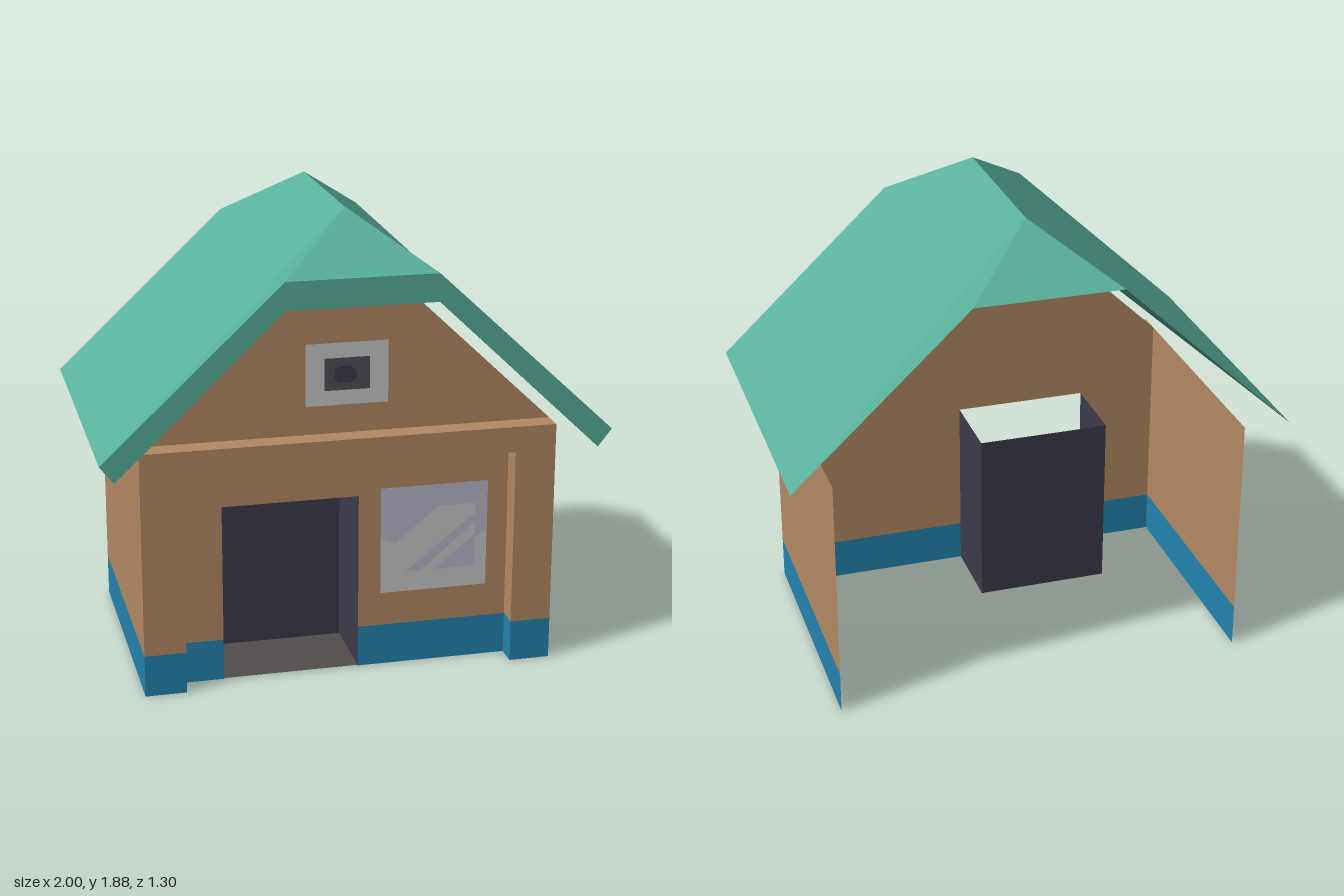
import * as THREE from 'three';

const mat = (name, color) => {
  const m = new THREE.MeshStandardMaterial({ color, side: THREE.DoubleSide, flatShading: true });
  m.name = name;
  return m;
};

export function createModel() {
  const house = new THREE.Group();
  house.name = 'house';
  const brown = mat('brown wall', 0xb38a64);
  const blue = mat('blue base', 0x2284b0);
  const green = mat('green roof', 0x58b09b);
  const dark = mat('dark doorway', 0x3d3b4a);
  const grey = mat('grey floor', 0x504d4c);
  const pale = mat('pale frame', 0xcacaca);
  const glass = mat('lilac glass', 0xbab8cc);
  const slate = mat('slate vent', 0x504f57);

  const add = (name, geometry, material, x = 0, y = 0, z = 0) => {
    const m = new THREE.Mesh(geometry, material);
    m.name = name;
    m.position.set(x, y, z);
    house.add(m);
    return m;
  };
  const shape = (pts) => new THREE.Shape(pts.map(([x, y]) => new THREE.Vector2(x, y)));
  const flat = (name, pts, z, material) => add(name, new THREE.ShapeGeometry(shape(pts)), material, 0, 0, z);
  const rect = (x0, x1, y0, y1) => [[x0, y0], [x1, y0], [x1, y1], [x0, y1]];
  const box = (name, x0, x1, y0, y1, z0, z1, material) =>
    add(name, new THREE.BoxGeometry(x1 - x0, y1 - y0, z1 - z0), material, (x0 + x1) / 2, (y0 + y1) / 2, (z0 + z1) / 2);
  // Wall standing along z at a fixed x
  const sideWall = (name, x, y0, y1, z0, z1, material) => {
    const m = add(name, new THREE.PlaneGeometry(z1 - z0, y1 - y0), material, x, (y0 + y1) / 2, (z0 + z1) / 2);
    m.rotation.y = x < 0 ? -Math.PI / 2 : Math.PI / 2;
  };
  // Convex faces, each a fan of corners
  const faces = (name, list, material) => {
    const pos = [];
    for (const f of list)
      for (let i = 1; i < f.length - 1; i++) pos.push(...f[0], ...f[i], ...f[i + 1]);
    const g = new THREE.BufferGeometry();
    g.setAttribute('position', new THREE.Float32BufferAttribute(pos, 3));
    g.computeVertexNormals();
    add(name, g, material);
  };

  const W = 0.83, IN = 0.665, BASE = 0.17, WALL = 0.4, FRONT = 0.49, BACK = -0.6;
  const D0 = -0.5, D1 = 0.05, DH = 0.73, DZ = 0.075;

  // Front wall with gable, cut out around the doorway
  flat('frontWall', [[-W, BASE], [D0, BASE], [D0, DH], [D1, DH], [D1, BASE], [W, BASE],
    [W, 1], [0, 1.79], [-W, 1]], WALL, brown);
  flat('frontBaseRight', rect(-W, D0, 0, BASE), WALL, blue);
  flat('frontBaseLeft', rect(D1, W, 0, BASE), WALL, blue);

  // Side walls and the posts of the front surround
  for (const s of [-1, 1]) {
    sideWall('sideWall', s * W, BASE, 1, BACK, WALL, brown);
    sideWall('sideBase', s * W, 0, BASE, BACK, WALL, blue);
    const x0 = s < 0 ? -W : IN, x1 = s < 0 ? -IN : W;
    box('frontPost', x0, x1, BASE, 0.895, WALL, FRONT, brown);
    box('frontPostBase', x0, x1, 0, BASE, WALL, FRONT, blue);
  }
  box('frontHeader', -W, W, 0.895, 1, WALL, FRONT, brown);

  // Recessed doorway
  sideWall('doorwaySide', D0, 0, DH, DZ, WALL, dark);
  sideWall('doorwaySide', D1, 0, DH, DZ, WALL, dark);
  flat('doorwayBack', rect(D0, D1, 0, DH), DZ, dark);
  faces('doorwayFloor', [[[D0, 0.003, WALL], [D1, 0.003, WALL], [D1, 0.003, DZ], [D0, 0.003, DZ]]], grey);

  // Window with reflections
  flat('windowFrame', rect(0.14, 0.58, 0.31, 0.755), WALL + 0.004, pale);
  flat('windowGlass', [[0.14, 0.755], [0.58, 0.755], [0.58, 0.545], [0.53, 0.52], [0.53, 0.665],
    [0.375, 0.665], [0.2, 0.52], [0.14, 0.545]], WALL + 0.008, glass);
  flat('windowGlassStripe', [[0.24, 0.395], [0.305, 0.395], [0.53, 0.585], [0.53, 0.625]], WALL + 0.008, glass);
  flat('windowGlassCorner', [[0.36, 0.395], [0.53, 0.395], [0.53, 0.53]], WALL + 0.008, glass);

  // Gable vent
  flat('ventFrame', rect(-0.165, 0.165, 1.115, 1.365), WALL + 0.003, pale);
  flat('ventPanel', rect(-0.09, 0.09, 1.175, 1.305), WALL + 0.006, slate);
  flat('ventHole', [[-0.05, 1.22], [-0.035, 1.205], [0.015, 1.205], [0.037, 1.225],
    [0.037, 1.25], [0.015, 1.272], [-0.035, 1.272], [-0.05, 1.257]], WALL + 0.009, dark);

  // Roof: two slopes, clipped at both ends by small hips
  const E = 0.65, R = 0.35, TOP = 1.885, HX = 0.295, HY = 1.68;
  for (const s of [-1, 1]) {
    const eave = (z) => [s, 1.02, z], hip = (z) => [s * HX, HY, z], ridge = (z) => [0, TOP, z];
    const list = [
      [eave(E), eave(-E), ridge(-R), ridge(R)],
      [eave(E), ridge(R), hip(E)],
      [eave(-E), hip(-E), ridge(-R)],
    ];
    faces('roofSlope', s > 0 ? list : list.map((f) => f.slice().reverse()), green);
  }
  faces('roofHips', [
    [[-HX, HY, E], [HX, HY, E], [0, TOP, R]],
    [[HX, HY, -E], [-HX, HY, -E], [0, TOP, -R]],
  ], green);

  // Front roof trim board
  flat('roofTrim', [[1, 1.02], [HX, HY], [-HX, HY], [-1, 1.02], [-0.945, 0.95],
    [-HX, 1.57], [HX, 1.57], [0.945, 0.95]], E, green);

  return house;
}
